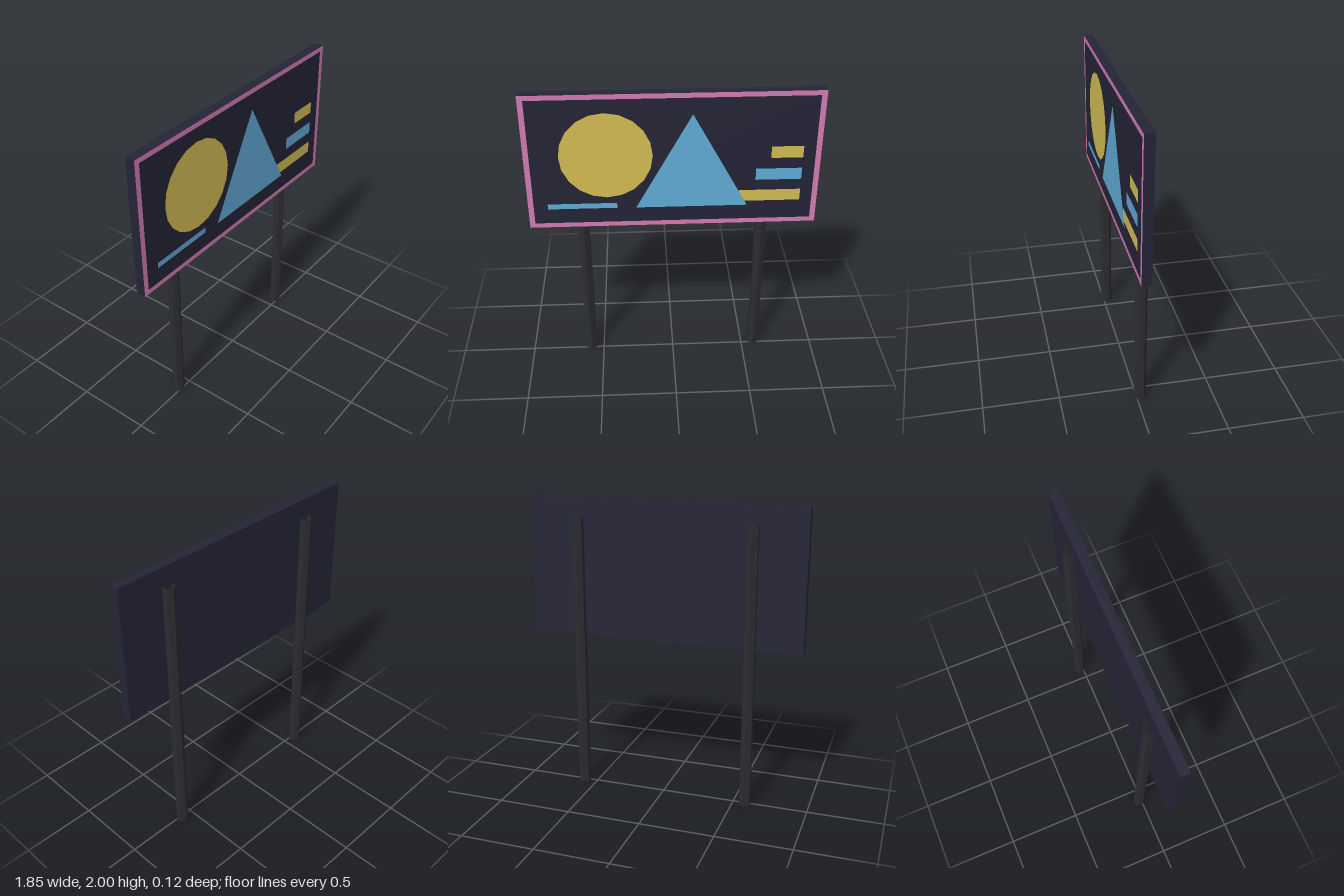
import * as THREE from 'three';

const mat = (name, color, side = THREE.FrontSide) => {
  const m = new THREE.MeshStandardMaterial({ color, side });
  m.name = name;
  return m;
};

export function createModel() {
  const navy = mat('navy', 0x242437);
  const charcoal = mat('charcoal', 0x2c2c31, THREE.DoubleSide);
  charcoal.flatShading = true;
  const pink = mat('pink', 0xd57cb4);
  const yellow = mat('yellow', 0xd4bd54);
  const blue = mat('blue', 0x61acd8);

  const model = new THREE.Group();
  model.name = 'billboard';
  const add = (name, geometry, material, x, y, z) => {
    const mesh = new THREE.Mesh(geometry, material);
    mesh.name = name;
    mesh.position.set(x, y, z);
    model.add(mesh);
  };

  const FRONT = 0.057; // front face of the board
  const rectPath = (path, x0, y0, x1, y1) =>
    path.moveTo(x0, y0).lineTo(x1, y0).lineTo(x1, y1).lineTo(x0, y1).closePath();

  // Board
  add('board', new THREE.BoxGeometry(1.85, 0.92, 0.062), navy, 0, 1.54, FRONT - 0.031);

  // Hexagonal open-ended posts behind the board
  for (const [name, x] of [['leftPost', 0.585], ['rightPost', -0.585]]) {
    add(name, new THREE.CylinderGeometry(0.04, 0.04, 1.88, 6, 1, true), charcoal, x, 0.94, -0.022);
  }

  // Border painted round the front face
  const border = rectPath(new THREE.Shape(), -0.925, 1.08, 0.925, 2);
  border.holes.push(rectPath(new THREE.Path(), -0.89, 1.112, 0.89, 1.968));
  add('border', new THREE.ShapeGeometry(border), pink, 0, 0, FRONT + 0.001);

  // Painted disc and triangle
  add('disc', new THREE.CircleGeometry(0.292, 20), yellow, -0.418, 1.588, FRONT + 0.002);
  const triangle = new THREE.Shape().moveTo(-0.237, 1.216).lineTo(0.475, 1.216).lineTo(0.12, 1.862).closePath();
  add('triangle', new THREE.ShapeGeometry(triangle), blue, 0, 0, FRONT + 0.004);

  // Painted bars: x0, x1, y0, y1
  const bars = [
    ['topBar', yellow, 0.612, 0.813, 1.552, 1.632],
    ['middleBar', blue, 0.522, 0.813, 1.398, 1.478],
    ['bottomBar', yellow, 0.42, 0.813, 1.245, 1.325],
    ['underline', blue, -0.8, -0.358, 1.216, 1.253],
  ];
  for (const [name, material, x0, x1, y0, y1] of bars) {
    add(name, new THREE.PlaneGeometry(x1 - x0, y1 - y0), material, (x0 + x1) / 2, (y0 + y1) / 2, FRONT + 0.002);
  }
  return model;
}
